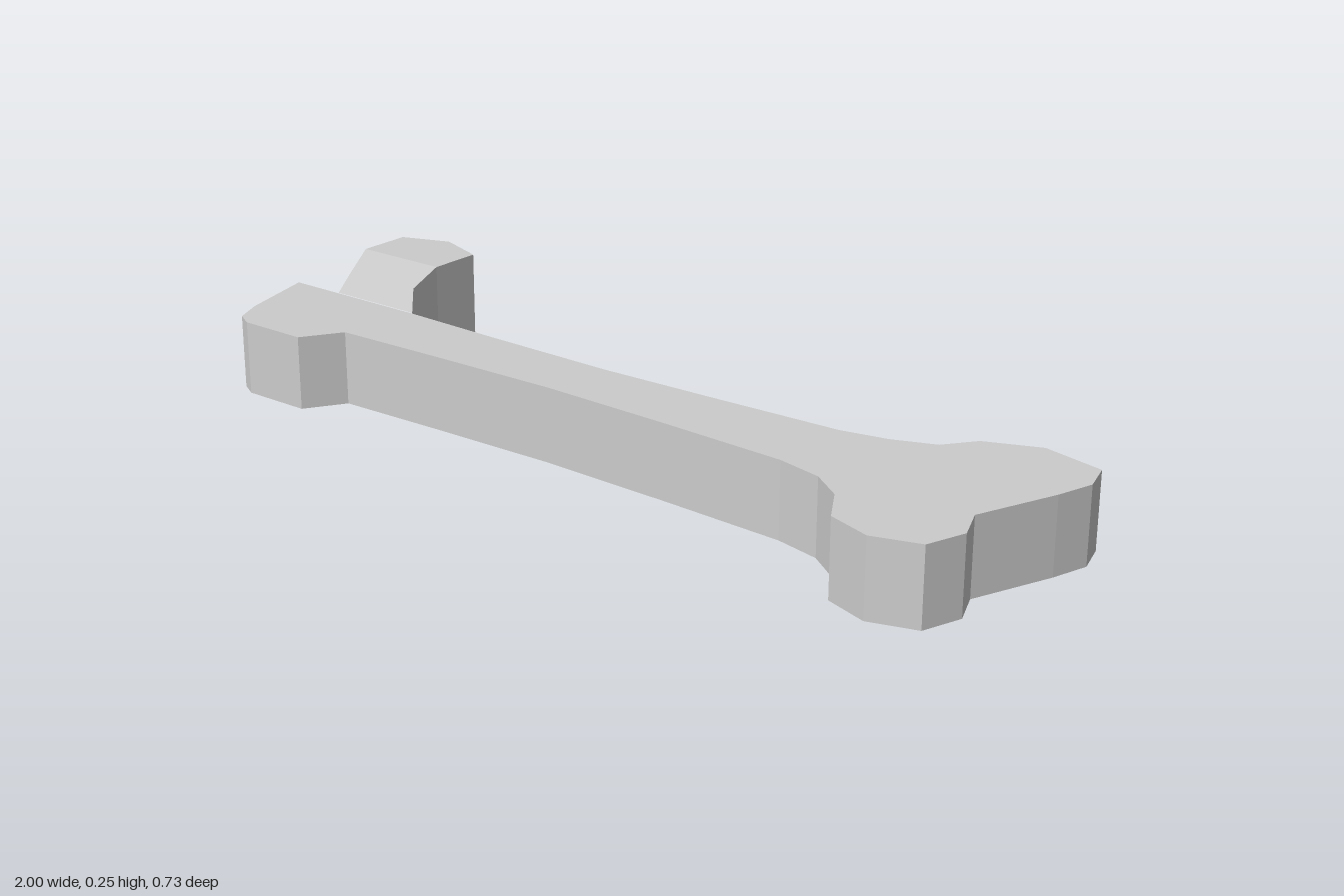
import * as THREE from 'three';

const material = new THREE.MeshStandardMaterial({ color: 0xcccccc, flatShading: true });

// Flat shaft with both knobbly ends, outlined in x,z
function createShaft() {
  const outline = [
    [-1, -0.012], [-0.95, 0.17], [-0.92, 0.235], [-0.88, 0.257], [-0.72, 0.257], [-0.665, 0.17],
    [-0.4, 0.162], [-0.1, 0.156], [0.2, 0.165], [0.49, 0.178], [0.59, 0.2], [0.66, 0.25],
    [0.71, 0.335], [0.805, 0.366], [0.905, 0.335], [0.935, 0.25], [0.905, 0.173], [0.975, 0],
    [1, -0.08], [0.98, -0.153], [0.845, -0.184], [0.73, -0.137], [0.68, -0.072], [0.59, -0.037],
    [0.49, -0.017], [0.2, -0.006], [-0.08, 0.002], [-0.4, -0.004], [-0.64, -0.012],
  ].map(([x, z]) => new THREE.Vector2(x, z));
  const geometry = new THREE.ExtrudeGeometry(new THREE.Shape(outline), { depth: 0.164, bevelEnabled: false });
  geometry.rotateX(Math.PI / 2).translate(0, 0.205, 0);
  return new THREE.Mesh(geometry, material);
}

// Neck that thickens into the side head, from rectangular cross-sections
function createNeckAndHead() {
  // z, left x, right x, half height
  const rows = [
    [-0.012, -0.87, -0.64, 0.084],
    [-0.1, -0.918, -0.72, 0.102],
    [-0.203, -0.972, -0.745, 0.1225],
    [-0.327, -0.972, -0.745, 0.1225],
    [-0.368, -0.86, -0.86, 0.1225],
  ];
  const midY = 0.1225;
  const positions = rows.flatMap(([z, x0, x1, h]) => [
    x0, midY - h, z, x1, midY - h, z, x1, midY + h, z, x0, midY + h, z,
  ]);
  const index = [];
  for (let i = 0; i < rows.length - 1; i++) {
    for (let j = 0; j < 4; j++) {
      const a = i * 4 + j, b = i * 4 + (j + 1) % 4;
      index.push(a, b + 4, b, a, a + 4, b + 4);
    }
  }
  const indexed = new THREE.BufferGeometry();
  indexed.setAttribute('position', new THREE.Float32BufferAttribute(positions, 3));
  indexed.setIndex(index);
  const geometry = indexed.toNonIndexed();
  geometry.computeVertexNormals();
  return new THREE.Mesh(geometry, material);
}

export function createModel() {
  const bone = new THREE.Group();
  bone.name = 'bone';
  const shaft = createShaft();
  shaft.name = 'shaft';
  const head = createNeckAndHead();
  head.name = 'neckAndHead';
  bone.add(shaft, head);
  return bone;
}
